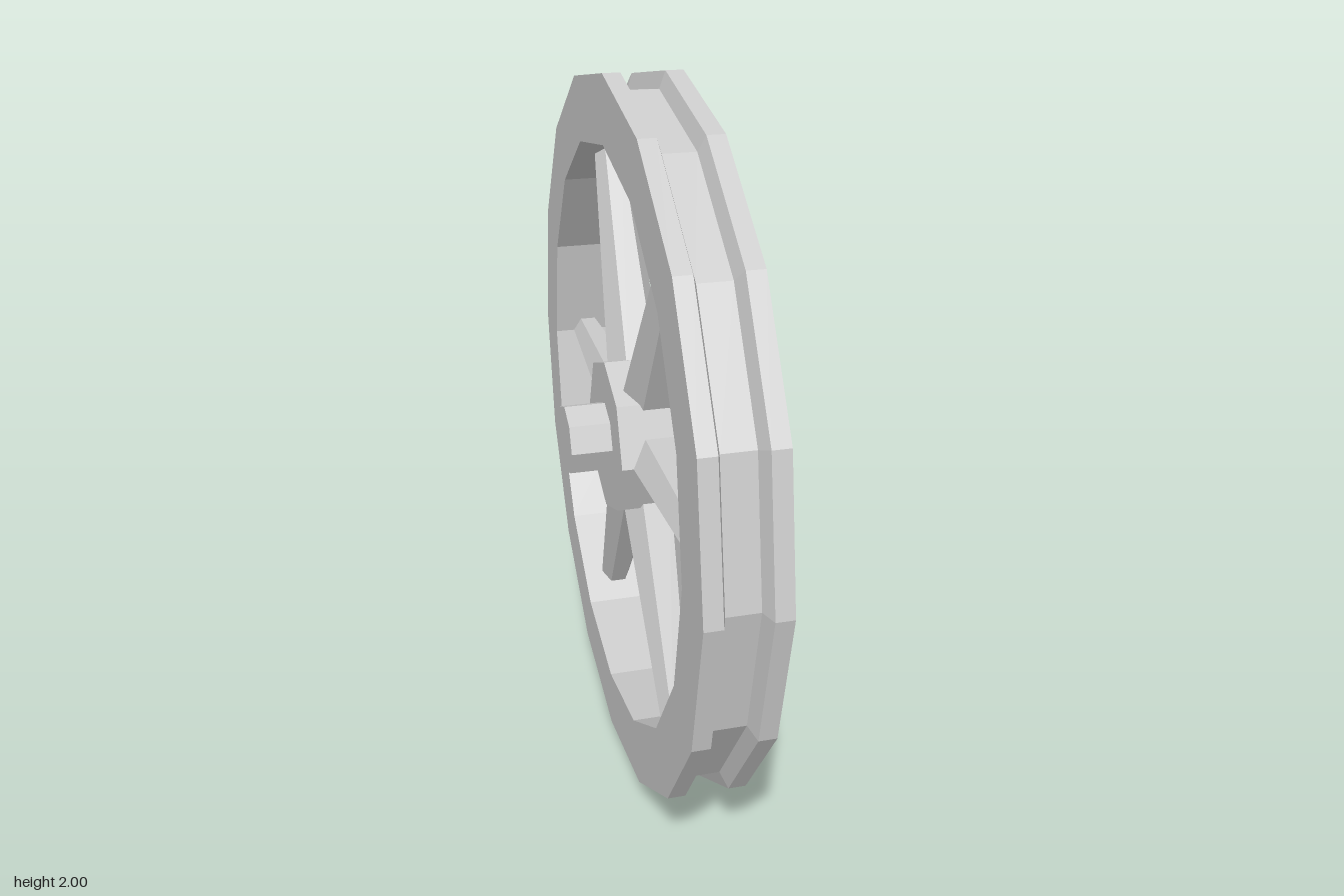
import * as THREE from 'three';

const MID = -0.015; // the wheel sits slightly off the middle of its axle

export function createModel() {
  const model = new THREE.Group();
  const wheel = new THREE.Group();
  wheel.name = 'wheel';
  wheel.position.y = 1;
  model.add(wheel);
  const material = new THREE.MeshStandardMaterial({ color: 0xcccccc, flatShading: true });

  const add = (name, geometry) => {
    const mesh = new THREE.Mesh(geometry, material);
    mesh.name = name;
    wheel.add(mesh);
    return mesh;
  };

  // Grooved rim: closed profile (radius, axial position) turned about x
  const profile = [
    [0.82, -0.12], [1, -0.12], [1, -0.073], [0.955, -0.058],
    [0.955, 0.027], [1, 0.043], [1, 0.09], [0.82, 0.09], [0.82, -0.12],
  ].map(([r, a]) => new THREE.Vector2(r, a));
  add('rim', new THREE.LatheGeometry(profile, 16).rotateZ(-Math.PI / 2));

  // Octagonal hub and the axle through it
  const hub = add('hub', new THREE.CylinderGeometry(0.222, 0.222, 0.222, 8).rotateZ(-Math.PI / 2));
  hub.position.x = MID;
  add('axle', new THREE.CylinderGeometry(0.1, 0.1, 0.48, 8).rotateZ(-Math.PI / 2));

  // Six tapered hexagonal spokes, one edge facing each side
  const inner = 0.14, outer = 0.822;
  const spokeGeometry = new THREE.CylinderGeometry(0.046, 0.084, outer - inner, 6, 1, false, Math.PI / 2)
    .translate(0, (inner + outer) / 2, 0);
  for (let i = 0; i < 6; i++) {
    const spoke = add(`spoke${i + 1}`, spokeGeometry);
    spoke.position.x = MID;
    spoke.rotation.x = Math.PI / 2 + (i * Math.PI) / 3;
  }
  return model;
}
